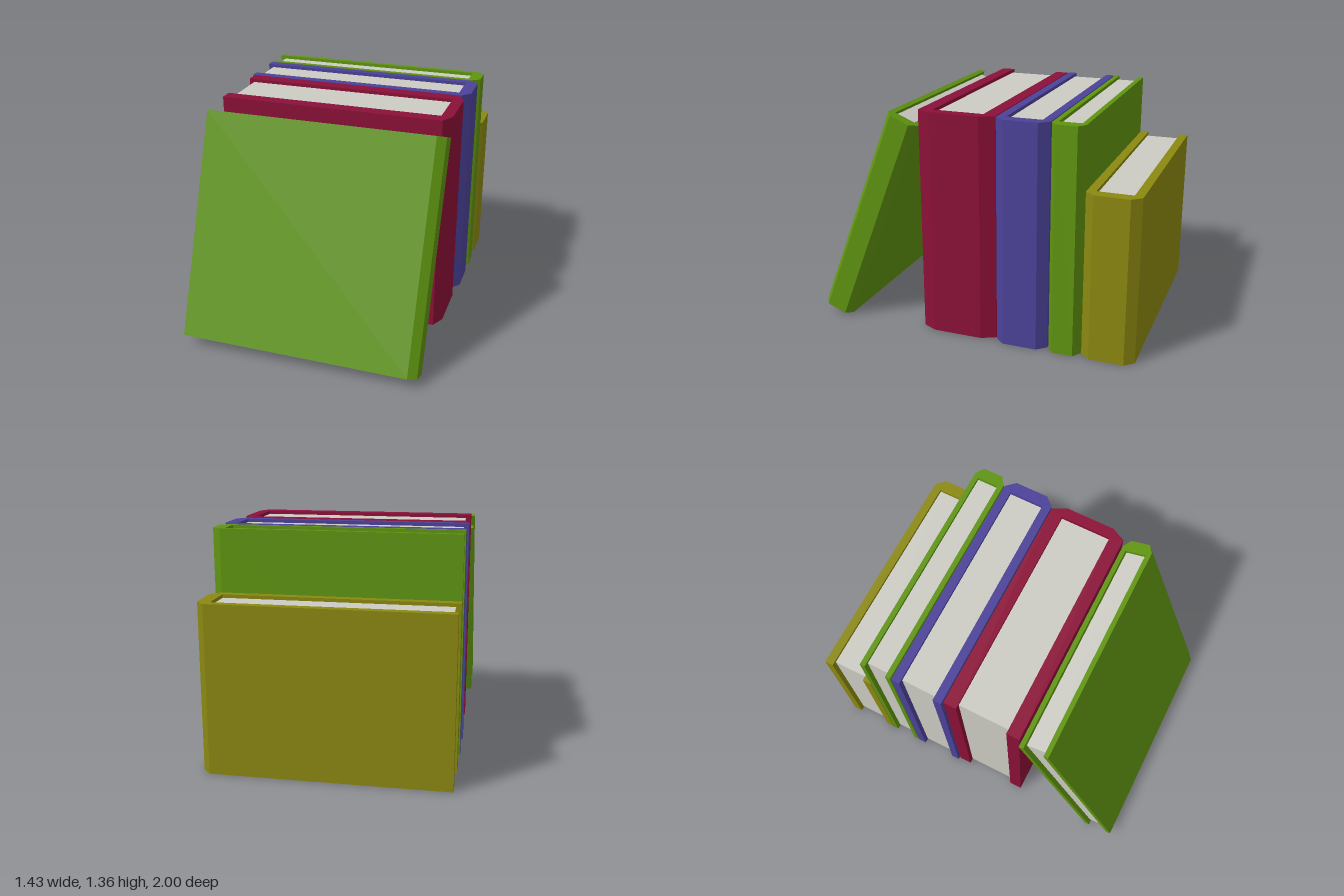
import * as THREE from 'three';

const GREEN = 0x5f9410, RED = 0x8b1038, BLUE = 0x4b4299, OLIVE = 0x8b8810, PAPER = 0xccccc4;
const RECESS = 0.02; // how far the pages sit below the cover edge

// A book standing on y = 0, centred on z, with its chamfered spine at +x
function makeBook(name, { color, height, thick, board, chamfer, x0 = -0.72, x1 = 0.715, bevel = 0.05, spine = 0.075 }) {
  const book = new THREE.Group();
  book.name = name;
  const h = thick / 2, inner = h - board, sx = x1 - spine;

  // U-shaped cover outline, extruded upwards
  const outline = [
    [x0, -h], [x1 - bevel, -h], [x1, -h + chamfer], [x1, h - chamfer], [x1 - bevel, h], [x0, h],
    [x0, inner], [sx, inner], [sx, -inner], [x0, -inner],
  ];
  const shape = new THREE.Shape(outline.map(([x, y]) => new THREE.Vector2(x, y)));
  const coverGeo = new THREE.ExtrudeGeometry(shape, { depth: height, bevelEnabled: false });
  coverGeo.rotateX(-Math.PI / 2);
  const cover = new THREE.Mesh(coverGeo, new THREE.MeshStandardMaterial({ color, flatShading: true }));
  cover.name = 'cover';

  // Page block, set back from the open edges
  const px0 = x0 + 0.03;
  const pages = new THREE.Mesh(
    new THREE.BoxGeometry(sx - px0, height - 2 * RECESS, 2 * inner),
    new THREE.MeshStandardMaterial({ color: PAPER, flatShading: true }),
  );
  pages.name = 'pages';
  pages.position.set((sx + px0) / 2, height / 2, 0);

  book.add(cover, pages);
  return book;
}

export function createModel() {
  const model = new THREE.Group();
  model.name = 'bookRow';
  const thin = { color: GREEN, height: 1.36, thick: 0.194, board: 0.031, chamfer: 0.035 };

  // Upright books, back to front
  const upright = [
    ['shortOliveBook', -0.842, { color: OLIVE, height: 0.99, thick: 0.316, board: 0.052, chamfer: 0.055 }],
    ['thinGreenBook', -0.582, thin],
    ['blueBook', -0.319, { color: BLUE, height: 1.36, thick: 0.316, board: 0.052, chamfer: 0.055 }],
    ['thickRedBook', 0.082, {
      color: RED, height: 1.36, thick: 0.472, board: 0.08, chamfer: 0.085,
      x0: -0.705, x1: 0.697, bevel: 0.042, spine: 0.067,
    }],
  ];
  for (const [name, z, spec] of upright) {
    const book = makeBook(name, spec);
    book.position.z = z;
    model.add(book);
  }

  // Book leaning back against the row
  const leaning = makeBook('leaningGreenBook', thin);
  leaning.position.set(0, 0.036, 0.91);
  leaning.rotation.x = -0.376;
  model.add(leaning);

  return model;
}
